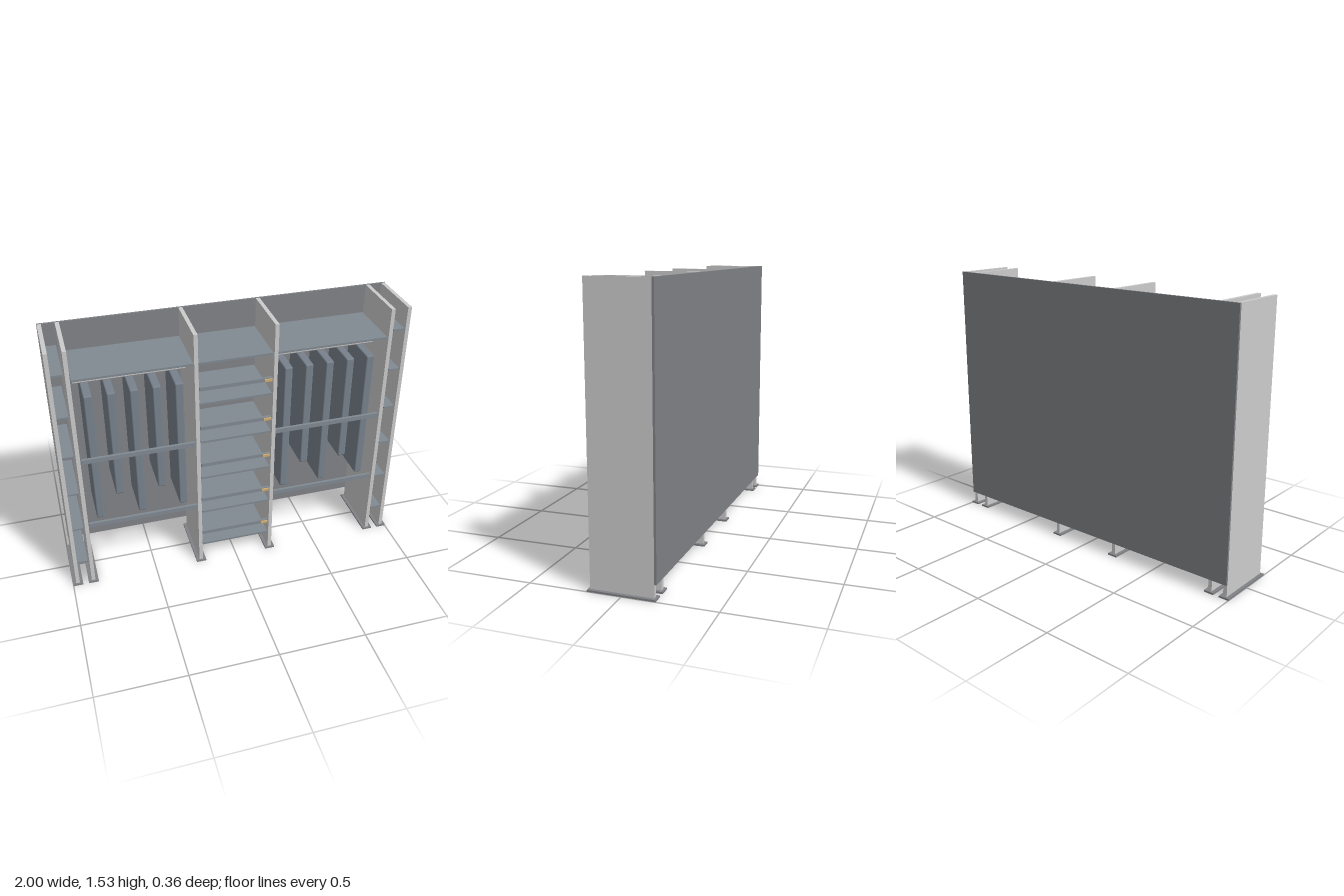
import * as THREE from 'three';
import { RoundedBoxGeometry } from 'three/addons/geometries/RoundedBoxGeometry.js';

const mat = (color) => new THREE.MeshStandardMaterial({ color });

export function createModel() {
  const model = new THREE.Group();
  model.name = 'wardrobe';
  const light = mat(0xcccccc);
  const dark = mat(0x808286);
  const board = mat(0x828a92);
  const cloth = mat(0x78828c);
  const tan = mat(0xd0ae72);

  const add = (name, geometry, material, x, y, z) => {
    const mesh = new THREE.Mesh(geometry, material);
    mesh.name = name;
    mesh.position.set(x, y, z);
    model.add(mesh);
    return mesh;
  };
  // Box given by its limits on each axis
  const box = (name, material, [x0, x1], [y0, y1], [z0, z1]) =>
    add(name, new THREE.BoxGeometry(x1 - x0, y1 - y0, z1 - z0), material,
      (x0 + x1) / 2, (y0 + y1) / 2, (z0 + z1) / 2);

  const depth = [-0.168, 0.162];

  box('backPanel', dark, [-0.985, 0.985], [0.08, 1.535], [-0.18, -0.168]);

  // Upright dividers, each on a flat foot
  for (const x of [-0.972, -0.88, -0.221, 0.217, 0.875, 0.971]) {
    box('upright', light, [x - 0.011, x + 0.011], [0.005, 1.535], [-0.168, 0.173]);
    box('foot', dark, [x - 0.029, x + 0.029], [0, 0.01], [-0.18, 0.183]);
  }

  // Narrow open shelves at both ends and wide shelves in the centre
  for (let i = 0; i < 6; i++) {
    const end = 0.155 + i * 0.249;
    box('endShelf', board, [-0.962, -0.899], [end - 0.005, end + 0.005], depth);
    box('endShelf', board, [0.896, 0.961], [end - 0.005, end + 0.005], depth);
    const y = 0.12 + i * 0.248;
    box('centreShelf', board, [-0.205, 0.203], [y - 0.006, y + 0.006], depth);
  }

  // Front rails between the centre shelves, each with a small tag
  for (let i = 0; i < 5; i++) {
    const y = 0.21 + i * 0.249;
    box('frontRail', board, [-0.205, 0.203], [y - 0.011, y + 0.011], [0.15, 0.165]);
    box('tag', tan, [0.157, 0.2], [y - 0.007, y + 0.007], [0.163, 0.174]);
  }

  // Two hanging bays: top shelf, rod, cross rails and garments
  for (const cx of [-0.549, 0.546]) {
    const span = (half) => [cx - half, cx + half];
    box('topShelf', board, span(0.315), [1.354, 1.366], depth);
    box('lightStrip', dark, span(0.307), [1.312, 1.319], [-0.01, 0.03]);
    const rod = add('hangingRod',
      new THREE.CylinderGeometry(0.011, 0.011, 0.606, 20), light, cx, 1.271, 0.01);
    rod.rotation.z = Math.PI / 2;
    for (const y of [0.858, 0.417])
      box('crossRail', board, span(0.315), [y - 0.013, y + 0.013], [0.147, 0.163]);
    for (let i = 0; i < 5; i++) {
      const top = 1.247;
      const bottom = i % 2 ? 0.59 : 0.443;
      add('garment', new RoundedBoxGeometry(0.046, top - bottom, 0.26, 2, 0.008), cloth,
        cx + (i - 2) * 0.1205, (top + bottom) / 2, 0.01);
    }
  }
  return model;
}
